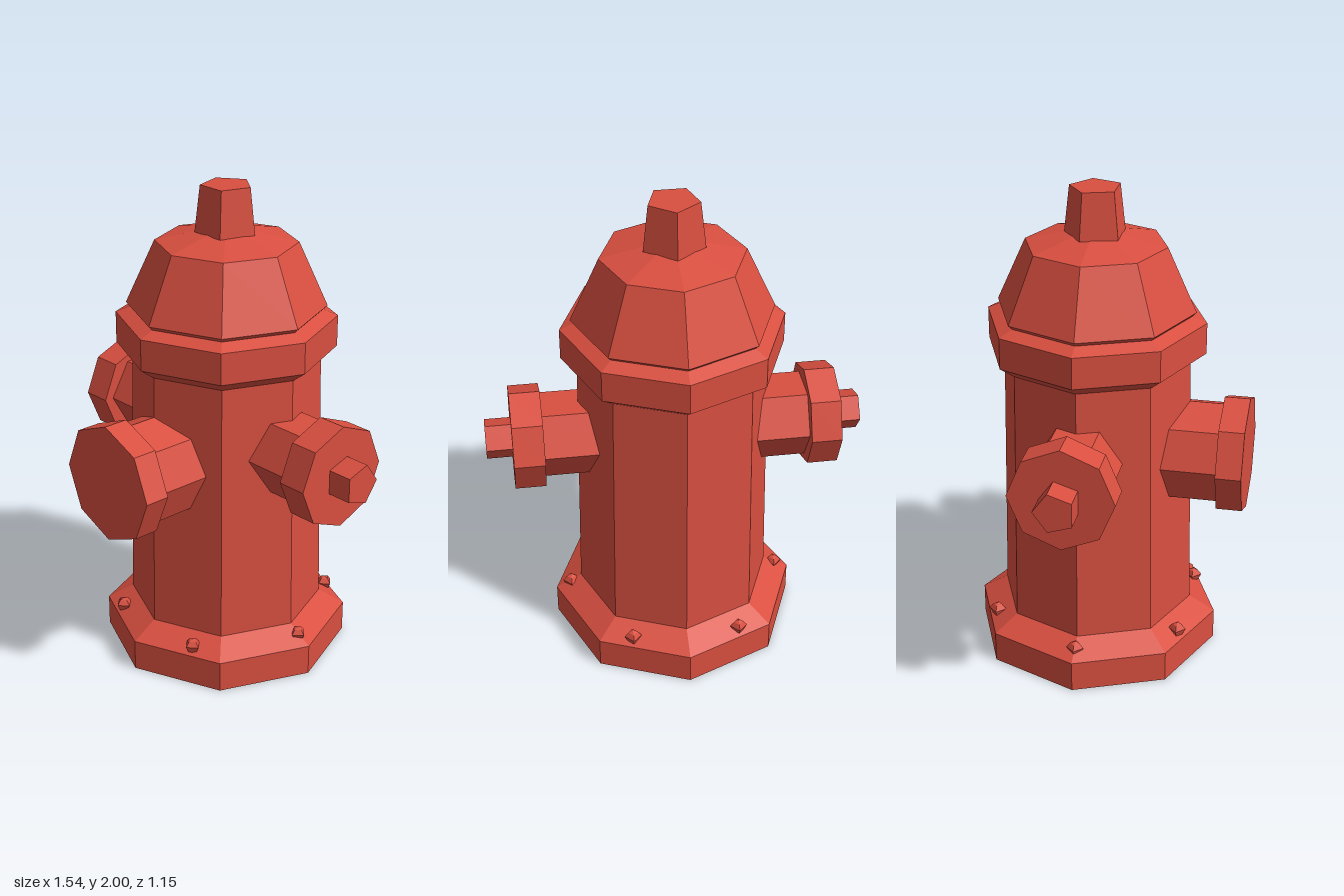
import * as THREE from 'three';

const material = new THREE.MeshStandardMaterial({ color: 0xd94f40, flatShading: true });

function addMesh(parent, name, geometry) {
  const flat = geometry.toNonIndexed();
  flat.computeVertexNormals();
  const mesh = new THREE.Mesh(flat, material);
  mesh.name = name;
  parent.add(mesh);
  return mesh;
}

// Faceted solid turned round the y axis from [radius, height] pairs, bottom to top
function addTurned(parent, name, profile, sides = 8) {
  const points = profile.map(([r, y]) => new THREE.Vector2(r, y));
  return addMesh(parent, name, new THREE.LatheGeometry(points, sides));
}

// Capped prism along y from y0 to y1, with one corner pointing to -z
function addPrism(parent, name, sides, r0, r1, y0, y1) {
  const geometry = new THREE.CylinderGeometry(r1, r0, y1 - y0, sides, 1, false, Math.PI);
  geometry.translate(0, (y0 + y1) / 2, 0);
  return addMesh(parent, name, geometry);
}

export function createModel() {
  const model = new THREE.Group();
  model.name = 'fireHydrant';
  const body = new THREE.Group();
  body.name = 'body';
  body.position.z = -0.06;
  model.add(body);

  // Upright stack: base, barrel, collar, dome and top nut
  addTurned(body, 'base', [[0, 0], [0.515, 0], [0.515, 0.13], [0.405, 0.195], [0, 0.195]]);
  addPrism(body, 'barrel', 8, 0.407, 0.386, 0.19, 1.3);
  addTurned(body, 'collar', [[0, 1.29], [0.39, 1.29], [0.45, 1.335], [0.45, 1.465], [0.39, 1.49], [0, 1.49]]);
  addTurned(body, 'dome', [[0, 1.485], [0.385, 1.485], [0.407, 1.507], [0.288, 1.77], [0, 1.838]]);
  addPrism(body, 'topNut', 5, 0.128, 0.106, 1.81, 2);

  // Side outlets
  for (const side of [1, -1]) {
    const outlet = new THREE.Group();
    outlet.name = side > 0 ? 'leftOutlet' : 'rightOutlet';
    outlet.position.y = 0.97;
    outlet.rotation.z = -side * Math.PI / 2;
    addPrism(outlet, 'outletPipe', 6, 0.172, 0.172, 0.25, 0.55);
    addPrism(outlet, 'outletCap', 8, 0.213, 0.213, 0.54, 0.665);
    addPrism(outlet, 'outletNut', 5, 0.085, 0.085, 0.655, 0.77);
    body.add(outlet);
  }

  // Large front outlet
  const front = new THREE.Group();
  front.name = 'frontOutlet';
  front.position.y = 0.905;
  front.rotation.x = Math.PI / 2;
  addPrism(front, 'frontPipe', 8, 0.215, 0.215, 0.22, 0.54);
  addPrism(front, 'frontCap', 8, 0.247, 0.247, 0.53, 0.635);
  body.add(front);

  // Six flange bolts
  for (let i = 0; i < 6; i++) {
    const angle = Math.PI / 6 + i * Math.PI / 3;
    const bolt = addTurned(body, 'flangeBolt',
      [[0, 0.135], [0.022, 0.14], [0.036, 0.168], [0.02, 0.188], [0, 0.195]], 4);
    bolt.position.set(Math.sin(angle) * 0.45, 0, Math.cos(angle) * 0.45);
  }

  return model;
}
